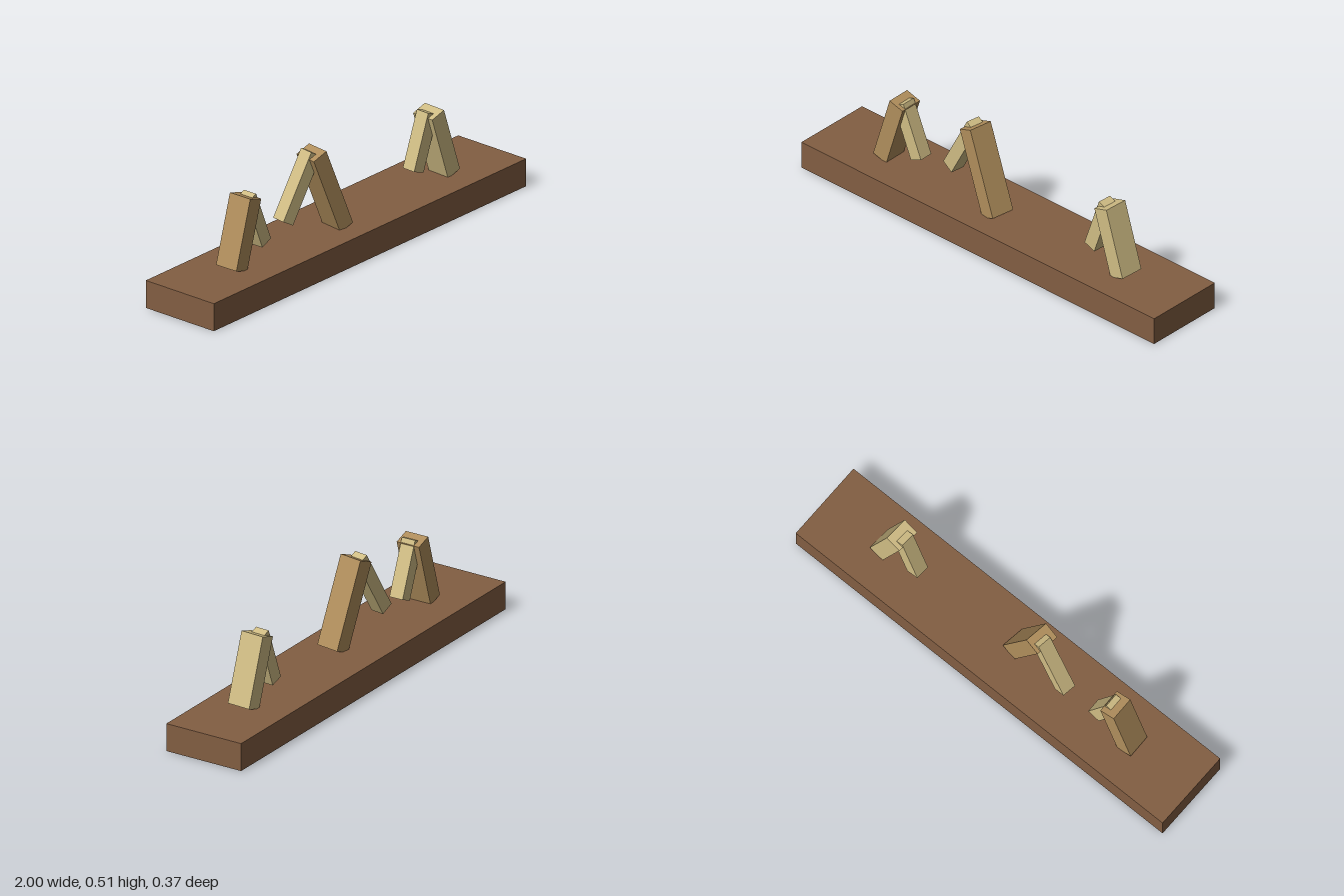
import * as THREE from 'three';

export function createModel() {
  const model = new THREE.Group();
  const mat = (name, color, side = THREE.FrontSide) => {
    const m = new THREE.MeshStandardMaterial({ color, side });
    m.name = name;
    return m;
  };
  const baseWood = mat('dark base wood', 0x825e42, THREE.DoubleSide);
  const midWood = mat('medium wood', 0xb08e5c);
  const paleWood = mat('pale wood', 0xcfbc84);

  // Hollow plinth: a box without its underside (the fourth face of six)
  const plinth = new THREE.BoxGeometry(2, 0.125, 0.374);
  const faces = Array.from(plinth.index.array);
  faces.splice(18, 6);
  plinth.setIndex(faces);
  plinth.clearGroups();
  const base = new THREE.Mesh(plinth, baseWood);
  base.name = 'base';
  base.position.y = 0.0625;
  model.add(base);

  // Leaning pairs: a thick post resting on the base and a thin prop against it.
  // Each beam is [size, centre, lean in degrees (positive leans to -x)].
  const pairs = [
    { name: 'leftEndPair', turn: 0.02, postMaterial: midWood,
      post: [[0.075, 0.312, 0.11], [-0.628, 0.278, 0.004], -17],
      prop: [[0.061, 0.255, 0.065], [-0.537, 0.308, 0.006], 22.5] },
    { name: 'middlePair', turn: -0.14, postMaterial: midWood,
      post: [[0.075, 0.394, 0.11], [-0.1, 0.308, 0.024], 22],
      prop: [[0.061, 0.314, 0.065], [-0.246, 0.355, -0.003], -29.6] },
    { name: 'rightEndPair', turn: -0.05, postMaterial: paleWood,
      post: [[0.075, 0.312, 0.11], [0.632, 0.278, 0.01], 18],
      prop: [[0.061, 0.255, 0.065], [0.536, 0.307, 0.003], -19.6] },
  ];

  const beam = (name, [size, centre, lean], turn, material) => {
    const mesh = new THREE.Mesh(new THREE.BoxGeometry(...size), material);
    mesh.name = name;
    mesh.position.set(...centre);
    mesh.rotation.set(0, turn, THREE.MathUtils.degToRad(lean), 'YXZ');
    return mesh;
  };

  for (const { name, turn, postMaterial, post, prop } of pairs) {
    const pair = new THREE.Group();
    pair.name = name;
    pair.add(beam('thickPost', post, turn, postMaterial), beam('thinProp', prop, turn, paleWood));
    model.add(pair);
  }
  return model;
}
